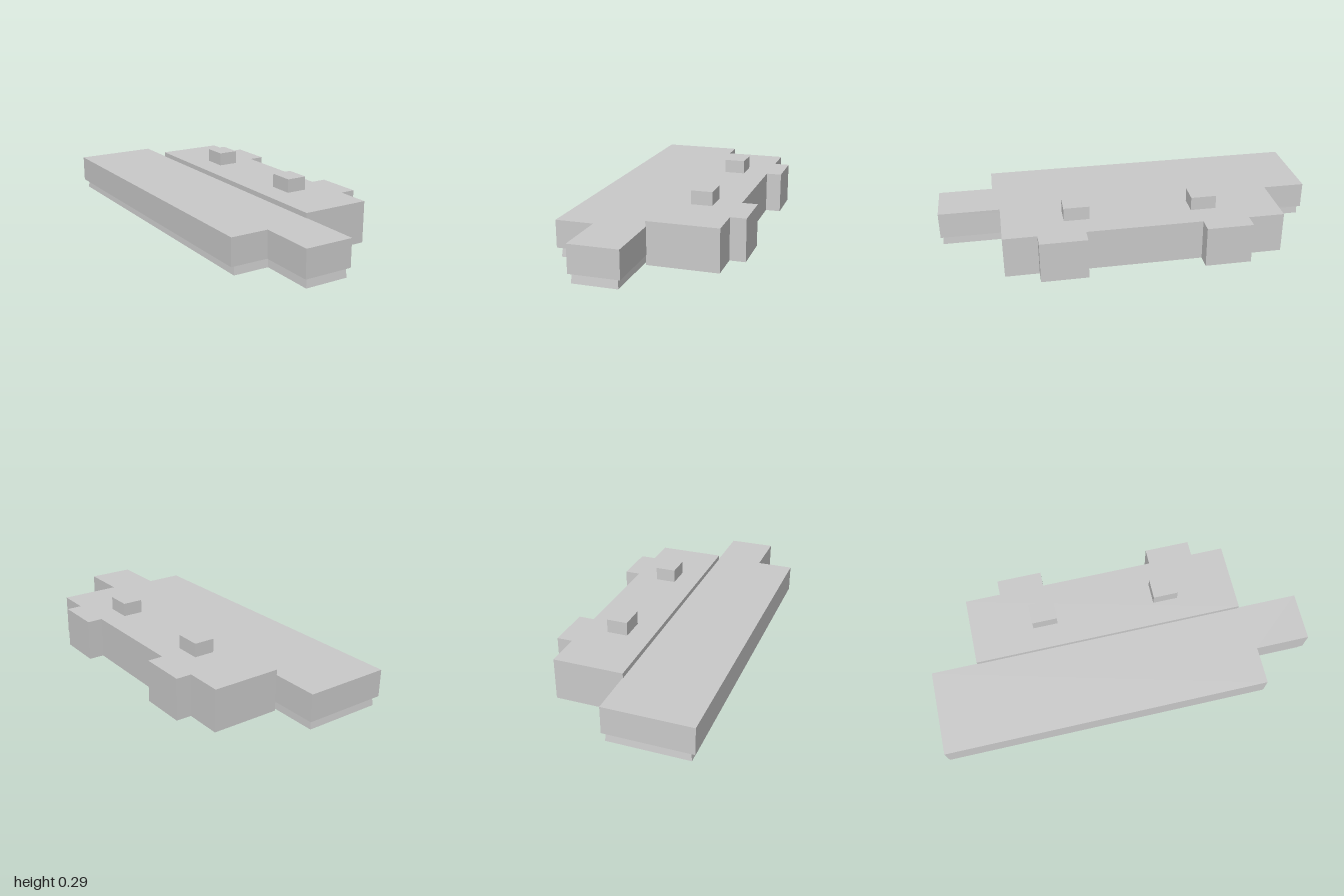
import * as THREE from 'three';

const material = new THREE.MeshStandardMaterial({ color: 0xcccccc, flatShading: true });

export function createModel() {
  const model = new THREE.Group();
  model.name = 'building';

  const add = (name, geometry) => {
    const mesh = new THREE.Mesh(geometry, material);
    mesh.name = name;
    model.add(mesh);
    return mesh;
  };

  // Box given by its extents on each axis
  const block = (name, [x0, x1], [y0, y1], [z0, z1]) => {
    const geometry = new THREE.BoxGeometry(x1 - x0, y1 - y0, z1 - z0);
    geometry.translate((x0 + x1) / 2, (y0 + y1) / 2, (z0 + z1) / 2);
    return add(name, geometry);
  };

  // Floor plan of [x, z] points raised from y0 to y1
  const raisedPlan = (name, points, y0, y1) => {
    const shape = new THREE.Shape(points.map(([x, z]) => new THREE.Vector2(x, -z)));
    const geometry = new THREE.ExtrudeGeometry(shape, { depth: y1 - y0, bevelEnabled: false });
    geometry.rotateX(-Math.PI / 2).translate(0, y0, 0);
    return add(name, geometry);
  };

  // Long wing with a narrower front end, overhanging a recessed plinth
  raisedPlan('longWing', [
    [-0.44, -1], [0.003, -1], [0.003, 1], [-0.246, 1], [-0.246, 0.715], [-0.44, 0.715],
  ], 0.05, 0.19);

  const plinth = raisedPlan('recessedPlinth', [
    [-0.415, -0.982], [-0.013, -0.982], [-0.013, 0.985], [-0.23, 0.985], [-0.23, 0.7], [-0.415, 0.7],
  ], 0.003, 0.05);

  // Splay the plinth walls slightly outwards at the foot
  const p = plinth.geometry.attributes.position;
  for (let i = 0; i < p.count; i++) {
    if (p.getY(i) > 0.02) continue;
    const x = p.getX(i), z = p.getZ(i);
    p.setX(i, x + (x < -0.1 ? -0.005 : 0.003));
    p.setZ(i, z + Math.sign(z) * 0.006);
  }
  plinth.geometry.computeVertexNormals();

  // Taller side wing with two bays and two roof boxes
  block('sideWing', [0, 0.357], [0, 0.216], [-0.757, 0.68]);
  for (const z of [-0.45, 0.387]) block('sideBay', [0.357, 0.437], [0, 0.216], [z - 0.12, z + 0.12]);
  for (const z of [-0.362, 0.299]) block('roofBox', [0.123, 0.231], [0.216, 0.287], [z - 0.066, z + 0.066]);

  return model;
}
